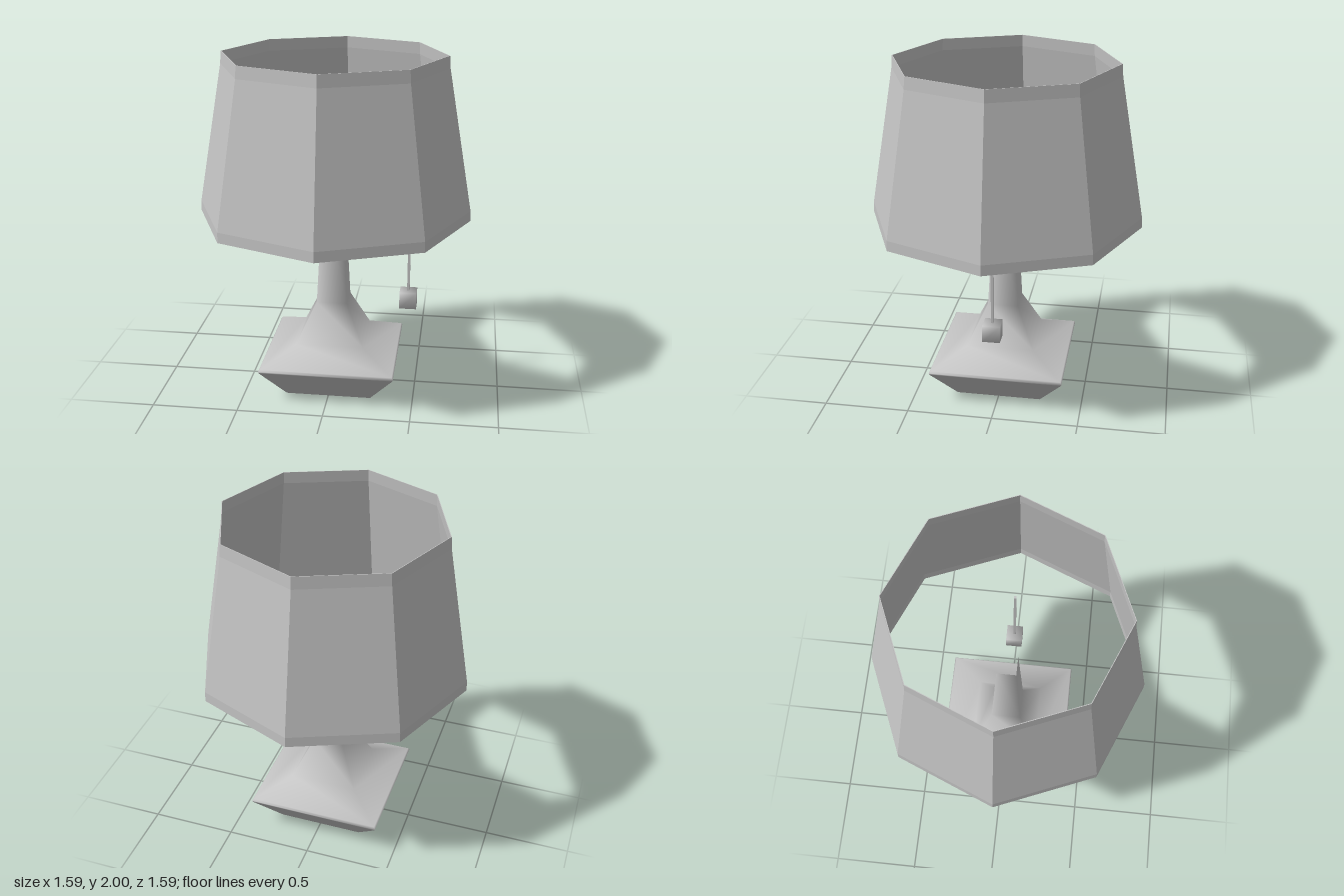
import * as THREE from 'three';

const grey = new THREE.MeshStandardMaterial({ color: 0xc4c4c4 });
grey.name = 'plain grey';

// Lathe from [radius, height] pairs; profile runs upward for outward faces
function lathe(points, sides, scale = 1) {
  return new THREE.LatheGeometry(points.map(([r, y]) => new THREE.Vector2(r * scale, y)), sides);
}

function facet(geometry) {
  const flat = geometry.toNonIndexed();
  flat.computeVertexNormals();
  return flat;
}

function add(parent, name, geometry) {
  const mesh = new THREE.Mesh(geometry, grey);
  mesh.name = name;
  parent.add(mesh);
  return mesh;
}

export function createModel() {
  const lamp = new THREE.Group();
  lamp.name = 'tableLamp';

  // Square base sweeping smoothly into an open-topped stem (half widths)
  const body = [
    [0.25, 0], [0.39, 0.19], [0.393, 0.2], [0.385, 0.21],
    [0.2, 0.3], [0.09, 0.53], [0.057, 1.2],
  ];
  add(lamp, 'baseAndStem', lathe(body, 4, Math.SQRT2).rotateY(Math.PI / 4));

  // Recessed underside
  const underside = [[0, 0.05], [0.24, 0.05], [0.25, 0]];
  add(lamp, 'baseUnderside', facet(lathe(underside, 4, Math.SQRT2).rotateY(Math.PI / 4)));

  // Octagonal shade: thin wall, open at both ends
  const outer = [[0.795, 1.05], [0.793, 1.11], [0.65, 1.93], [0.645, 2]];
  const inner = outer.map(([r, y]) => [r - 0.004, y]).reverse();
  add(lamp, 'shade', facet(lathe([...outer, ...inner, outer[0]], 8)));

  // Pull cord with a cube bob, hanging on the model's left
  const pull = new THREE.Group();
  pull.name = 'pullSwitch';
  pull.position.x = 0.448;
  lamp.add(pull);
  add(pull, 'cord', new THREE.BoxGeometry(0.015, 0.56, 0.015)).position.y = 0.87;

  // Cube with corner normals averaged so it shades softly
  const bob = new THREE.BoxGeometry(0.1, 0.1, 0.1);
  const p = bob.attributes.position, n = bob.attributes.normal;
  const v = new THREE.Vector3();
  for (let i = 0; i < p.count; i++) {
    v.fromBufferAttribute(p, i).normalize();
    n.setXYZ(i, v.x, v.y, v.z);
  }
  add(pull, 'bob', bob).position.y = 0.55;

  return lamp;
}
